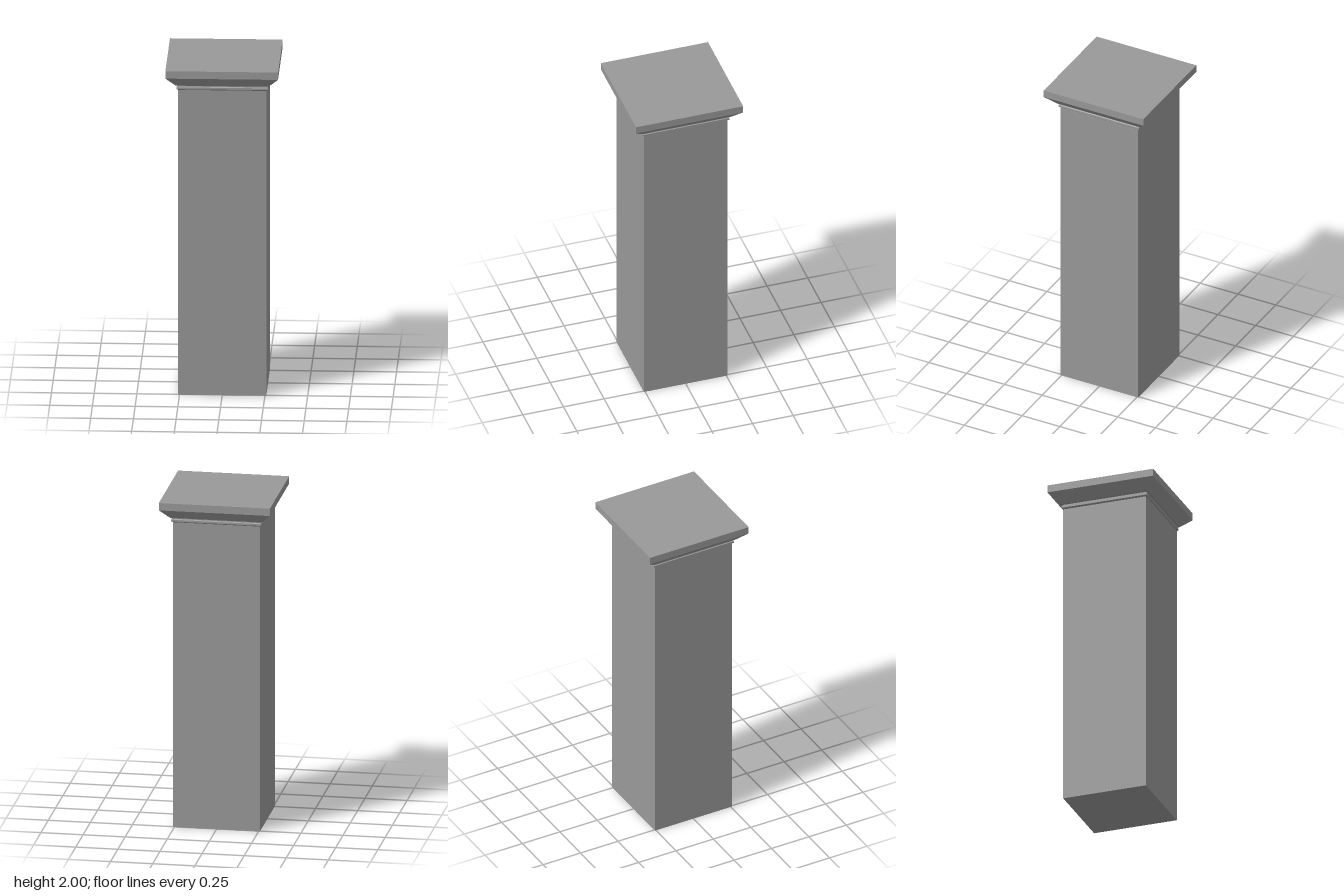
import * as THREE from 'three';

// Square solid from a profile of [half width, height] pairs, listed bottom to top
function squareSolid(name, profile, material) {
  const points = profile.map(([half, y]) => new THREE.Vector2(half * Math.SQRT2, y));
  points.unshift(new THREE.Vector2(0, profile[0][1]));
  points.push(new THREE.Vector2(0, profile[profile.length - 1][1]));
  const geometry = new THREE.LatheGeometry(points, 4, Math.PI / 4).toNonIndexed();
  geometry.computeVertexNormals(); // crisp flat faces
  const mesh = new THREE.Mesh(geometry, material);
  mesh.name = name;
  return mesh;
}

export function createModel() {
  const stone = new THREE.MeshStandardMaterial({ color: 0x999999 });
  stone.name = 'grey stone';

  const pillar = new THREE.Group();
  pillar.name = 'squarePillar';
  pillar.add(
    // Plain shaft
    squareSolid('shaft', [[0.258, 0], [0.258, 1.87]], stone),
    // Capital: thin fillet, small step, splayed moulding and square slab
    squareSolid('capital', [
      [0.258, 1.865], [0.267, 1.872], [0.267, 1.883],
      [0.262, 1.887], [0.262, 1.892], [0.272, 1.895],
      [0.33, 1.955], [0.33, 2],
    ], stone),
  );
  return pillar;
}
